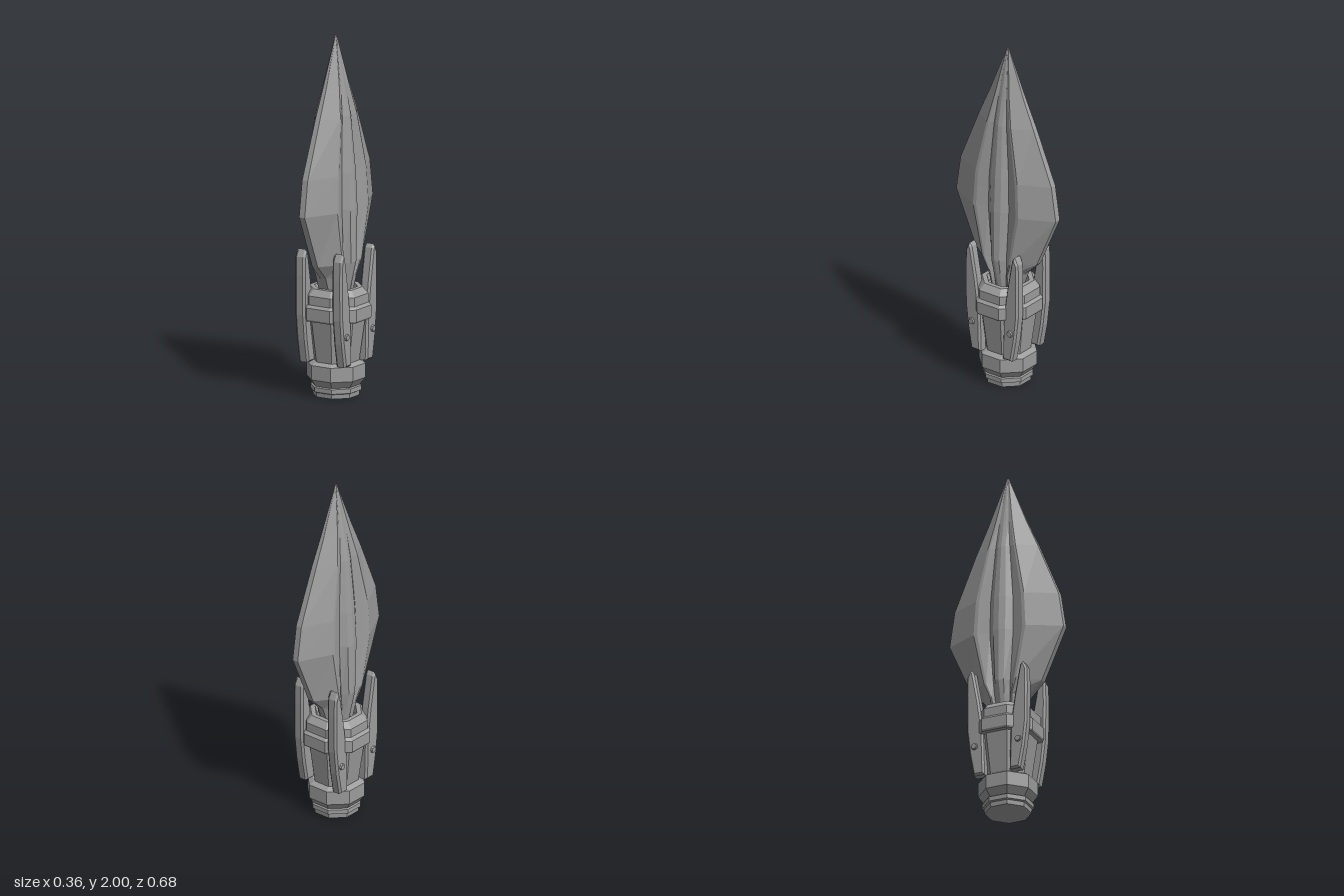
import * as THREE from 'three';

const steel = new THREE.MeshStandardMaterial({ color: 0x9c9c9c, flatShading: true });
steel.name = 'steel';

function part(name, geometry) {
  const mesh = new THREE.Mesh(geometry, steel);
  mesh.name = name;
  return mesh;
}

// Eight-sided turned piece; radii in the profile are measured to the flats
function octagon(name, profile) {
  const k = 1 / Math.cos(Math.PI / 8);
  const points = profile.map(([r, y]) => new THREE.Vector2(r * k, y));
  return part(name, new THREE.LatheGeometry(points, 8, Math.PI / 8));
}

// Blade cross-sections: y, edge x z, shoulder x z, valley x z, rib x z, rib crest x
const sections = [
  [0.56, 0.018, 0.09, 0.07, 0.055, 0.06, 0.035, 0.075, 0.018, 0.08],
  [0.67, 0.018, 0.13, 0.092, 0.065, 0.072, 0.045, 0.098, 0.022, 0.105],
  [0.75, 0.018, 0.21, 0.104, 0.095, 0.08, 0.05, 0.114, 0.026, 0.122],
  [1.05, 0.018, 0.34, 0.110, 0.155, 0.084, 0.07, 0.115, 0.036, 0.125],
  [1.25, 0.018, 0.31, 0.104, 0.143, 0.08, 0.066, 0.106, 0.034, 0.115],
  [1.56, 0.015, 0.185, 0.082, 0.082, 0.068, 0.042, 0.082, 0.022, 0.088],
  [1.72, 0.011, 0.115, 0.054, 0.05, 0.049, 0.027, 0.053, 0.014, 0.056],
  [2.0, 0.001, 0.005, 0.003, 0.004, 0.004, 0.003, 0.005, 0.002, 0.005],
];

function bladeRing([y, ex, ez, sx, sz, vx, vz, rx, rz, cx]) {
  const bevel = [sx * 0.99, sz * 0.87];
  const quarter = [[ex, ez], [sx, sz], bevel, [vx, vz], [rx, rz]];
  const back = quarter.map(([x, z]) => [x, -z]).reverse();
  const half = [...quarter, [cx, 0], ...back];
  const other = half.map(([x, z]) => [-x, -z]);
  return [...half, ...other].map(([x, z]) => [x, y, z]);
}

function bladeGeometry() {
  const rings = sections.map(bladeRing);
  const n = rings[0].length;
  const last = rings.length - 1;
  const out = [];
  const tri = (a, b, c) => out.push(...a, ...b, ...c);
  for (let j = 0; j < n; j++) {
    const k = (j + 1) % n;
    for (let i = 0; i < last; i++) {
      tri(rings[i][j], rings[i][k], rings[i + 1][k]);
      tri(rings[i][j], rings[i + 1][k], rings[i + 1][j]);
    }
    tri([0, sections[0][0], 0], rings[0][k], rings[0][j]);
    tri([0, sections[last][0], 0], rings[last][j], rings[last][k]);
  }
  const geometry = new THREE.BufferGeometry();
  geometry.setAttribute('position', new THREE.Float32BufferAttribute(out, 3));
  geometry.computeVertexNormals();
  return geometry;
}

// Prong outline in z and y, bevelled and turned to lie across x
function prongGeometry() {
  const outline = [[0.085, 0.2], [0.13, 0.2], [0.152, 0.32], [0.168, 0.46],
    [0.17, 0.68], [0.167, 0.78], [0.153, 0.81], [0.147, 0.8], [0.115, 0.62], [0.092, 0.45]];
  const shape = new THREE.Shape(outline.map(([z, y]) => new THREE.Vector2(z, y)));
  const geometry = new THREE.ExtrudeGeometry(shape, {
    depth: 0.04, bevelEnabled: true, bevelSize: 0.01, bevelThickness: 0.012, bevelSegments: 1,
  });
  return geometry.translate(0, 0, -0.02).rotateY(-Math.PI / 2);
}

export function createModel() {
  const model = new THREE.Group();
  model.name = 'spearhead';

  // Socket: stepped foot, tapered shaft and collar
  model.add(octagon('foot', [
    [0, 0], [0.118, 0], [0.12, 0.025], [0.13, 0.03], [0.13, 0.055], [0.122, 0.06],
    [0.15, 0.1], [0.15, 0.18], [0.125, 0.195], [0, 0.195],
  ]));
  model.add(octagon('shaft', [[0.118, 0.19], [0.15, 0.44]]));
  model.add(octagon('collar', [
    [0.145, 0.43], [0.175, 0.43], [0.18, 0.44], [0.18, 0.505],
    [0.165, 0.52], [0.165, 0.57], [0.135, 0.605], [0.11, 0.605], [0.1, 0.57], [0, 0.57],
  ]));

  model.add(part('blade', bladeGeometry()));

  // Four prongs, each pinned by a bolt
  const prong = prongGeometry();
  const bolt = new THREE.CylinderGeometry(0.016, 0.022, 0.016, 8).rotateZ(-Math.PI / 2);
  for (const sx of [1, -1]) {
    for (const sz of [1, -1]) {
      const claw = part('prong', prong);
      claw.rotation.y = sz > 0 ? 0 : Math.PI;
      claw.position.x = sx * 0.12;
      const pin = part('bolt', bolt);
      pin.rotation.y = sx > 0 ? 0 : Math.PI;
      pin.position.set(sx * 0.154, 0.36, sz * 0.13);
      model.add(claw, pin);
    }
  }
  return model;
}
